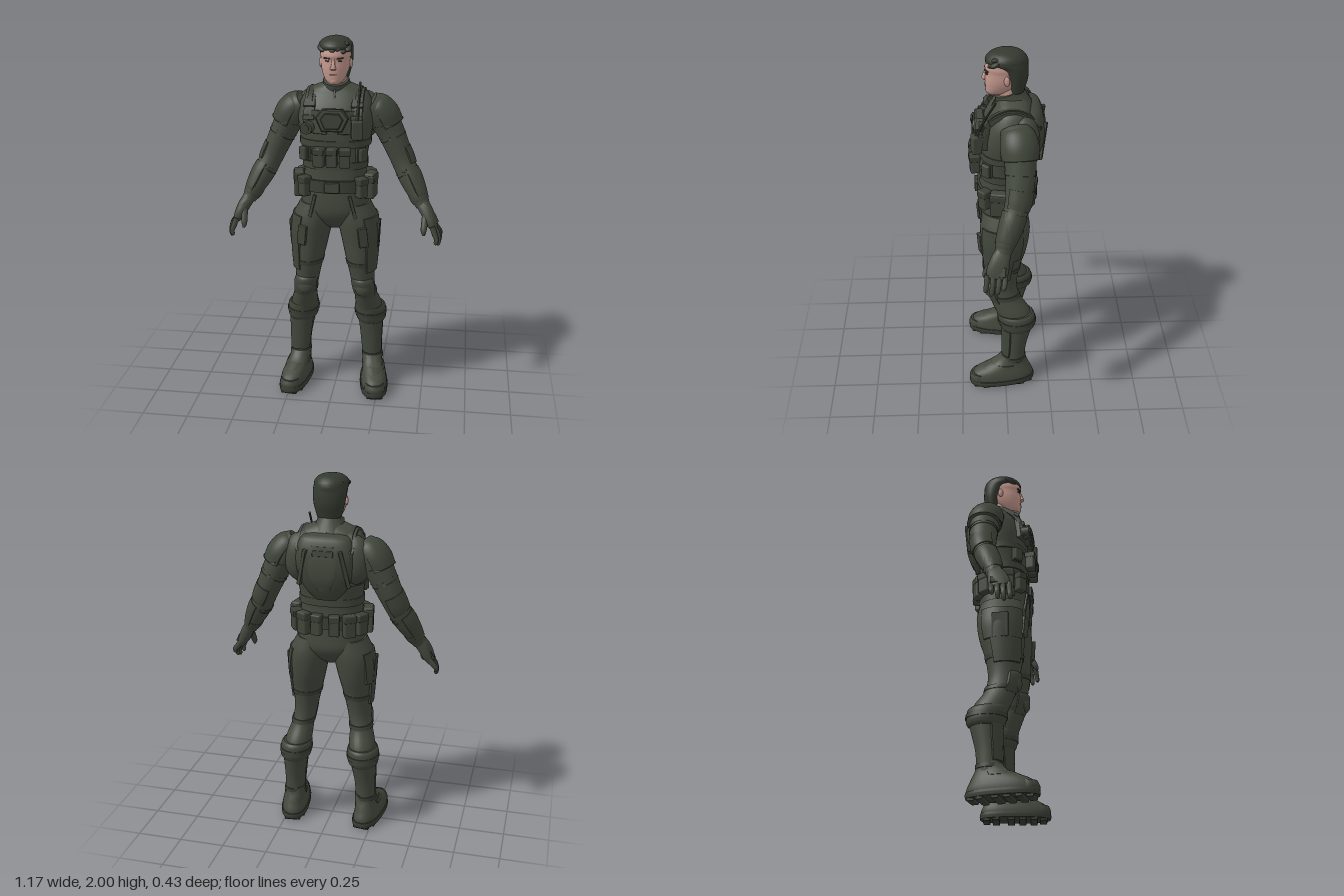
import * as THREE from 'three';
import { toCreasedNormals } from 'three/addons/utils/BufferGeometryUtils.js';
import { RoundedBoxGeometry } from 'three/addons/geometries/RoundedBoxGeometry.js';

const mat = (name, color) => { const m = new THREE.MeshStandardMaterial({ color }); m.name = name; return m; };
const V = (x, y, z) => new THREE.Vector3(x, y, z);

// Skin over oval sections; rows run top to bottom as [x, y, z, half width, half depth].
// flat keeps sections level, n squares them off, factor scales by angle (0 = +x, PI/2 = front).
function loft(rows, { flat = false, n = 2, seg = 28, sub = 4, factor = () => 1 } = {}) {
  const centre = new THREE.CatmullRomCurve3(rows.map(r => V(r[0], r[1], r[2])), false, 'catmullrom', 0.5);
  const radii = new THREE.CatmullRomCurve3(rows.map(r => V(r[3], r[4], 0)), false, 'catmullrom', 0.5);
  const steps = (rows.length - 1) * sub, pos = [], idx = [];
  const power = c => Math.sign(c) * Math.abs(c) ** (2 / n);
  for (let i = 0; i <= steps; i++) {
    const c = centre.getPoint(i / steps), r = radii.getPoint(i / steps);
    const t = flat ? V(0, -1, 0) : centre.getTangent(i / steps);
    const u = V(0, 0, 1).cross(t).normalize(), v = t.clone().cross(u);
    for (let j = 0; j < seg; j++) {
      const a = j / seg * Math.PI * 2, f = factor(a);
      const p = c.clone().addScaledVector(u, r.x * f * power(Math.cos(a))).addScaledVector(v, r.y * f * power(Math.sin(a)));
      pos.push(p.x, p.y, p.z);
    }
  }
  for (let i = 0; i < steps; i++) for (let j = 0; j < seg; j++) {
    const a = i * seg + j, b = i * seg + (j + 1) % seg;
    idx.push(a, b, a + seg, b, b + seg, a + seg);
  }
  const top = pos.length / 3, first = rows[0], last = rows[rows.length - 1];
  pos.push(first[0], first[1], first[2], last[0], last[1], last[2]);
  for (let j = 0; j < seg; j++) {
    const k = (j + 1) % seg, e = steps * seg;
    idx.push(top, k, j, top + 1, e + j, e + k);
  }
  const g = new THREE.BufferGeometry();
  g.setAttribute('position', new THREE.Float32BufferAttribute(pos, 3));
  g.setIndex(idx);
  return toCreasedNormals(g, 0.75);
}

// Armour covers one arc of a limb and sinks into it elsewhere
const arc = (mid, half) => a => Math.abs(Math.atan2(Math.sin(a - mid), Math.cos(a - mid))) < half ? 1 : 0.75;
const shell = (rows, mid, half, o = {}) => loft(rows, { seg: 40, factor: arc(mid, half), ...o });

const place = (g, x, y, z, rx = 0, ry = 0, rz = 0) => g.applyMatrix4(
  new THREE.Matrix4().makeRotationFromEuler(new THREE.Euler(rx, ry, rz, 'YXZ')).setPosition(x, y, z));
const box = (w, h, d, ...at) => place(new RoundedBoxGeometry(w, h, d, 1, Math.min(w, h, d) * 0.18), ...at);
const ball = (w, h, d, ...at) => place(new THREE.SphereGeometry(1, 16, 12).scale(w, h, d), ...at);
const drum = (r0, r1, h, ...at) => place(new THREE.CylinderGeometry(r0, r1, h, 14), ...at);

function mirrored(g) {
  const m = g.index ? g.toNonIndexed() : g.clone();
  m.scale(-1, 1, 1);
  for (const { array: a } of [m.attributes.position, m.attributes.normal])
    for (let i = 0; i < a.length; i += 9) for (let k = 3; k < 6; k++) [a[i + k], a[i + k + 3]] = [a[i + k + 3], a[i + k]];
  return m;
}

// Strap over the shoulder, drawn as a side profile and extruded across
function overStrap(width, x, scale) {
  const at = k => new THREE.Vector2(-.02, 1.56).lerp(k, scale);
  const curve = new THREE.SplineCurve([[.138, 1.52], [.118, 1.61], [.07, 1.685], [-.02, 1.728], [-.11, 1.71], [-.18, 1.63]].map(p => new THREE.Vector2(...p)));
  const outer = curve.getPoints(20), inner = outer.map(p => new THREE.Vector2(-.02, 1.56).lerp(p, .84)).reverse();
  const g = new THREE.ExtrudeGeometry(new THREE.Shape([...outer.map(at), ...inner]), { depth: width, bevelEnabled: false });
  return toCreasedNormals(g.rotateY(-Math.PI / 2).translate(x + width / 2, 0, 0), 0.6);
}

export function createModel() {
  const cloth = mat('olive cloth', 0x444a3f), gear = mat('olive gear', 0x40463b), strap = mat('dark strap', 0x393f35);
  const hairM = mat('dark hair', 0x343a30), skin = mat('skin', 0xc4988d), lip = mat('lip', 0xa97b72);
  const model = new THREE.Group();
  model.name = 'soldier';
  const add = (name, m, g) => { const o = new THREE.Mesh(g, m); o.name = name; model.add(o); };
  const pair = (name, m, g) => { add('left ' + name, m, g); add('right ' + name, m, mirrored(g)); };
  const PI = Math.PI, flat = { flat: true };

  // Head
  add('neck', skin, loft([[0, 1.83, -.025, .055, .06], [0, 1.72, -.035, .058, .062]], flat));
  add('face', skin, loft([[0, 1.985, -.015, .03, .04], [0, 1.96, -.013, .068, .09], [0, 1.915, -.01, .079, .106],
    [0, 1.89, -.008, .076, .101], [0, 1.85, -.002, .074, .098], [0, 1.815, .01, .065, .085], [0, 1.785, .026, .05, .067],
    [0, 1.766, .045, .03, .04]], { flat: true, n: 2.2 }));
  add('nose', skin, loft([[0, 1.9, .086, .008, .01], [0, 1.87, .096, .01, .012], [0, 1.85, .099, .016, .014], [0, 1.841, .094, .011, .008]], { flat: true, seg: 10 }));
  add('mouth', lip, box(.04, .006, .008, 0, 1.816, .093));
  add('chin', skin, ball(.024, .018, .018, 0, 1.784, .077));
  pair('ear', skin, ball(.008, .026, .015, .08, 1.863, -.012, 0, -.25));
  pair('brow', hairM, box(.036, .006, .009, .034, 1.901, .089, 0, .35, .06));
  pair('eye', hairM, box(.02, .006, .009, .033, 1.887, .087, 0, .35));
  add('hair', hairM, loft([[0, 2, -.02, .025, .03], [0, 1.99, -.014, .06, .07], [0, 1.968, -.012, .085, .098],
    [0, 1.945, -.014, .09, .106], [0, 1.925, -.04, .089, .08], [0, 1.895, -.054, .087, .068], [0, 1.85, -.062, .081, .058],
    [0, 1.785, -.062, .064, .04]], flat));
  // Tufts swept to one side over the fringe and crown
  for (let i = 0; i < 6; i++) {
    add('fringe tuft', hairM, ball(.026, .014, .036, -.062 + i * .025, 1.948 + i % 2 * .008 + (i > 3 ? -.006 : 0), .068 - Math.abs(i - 2.5) * .011, .4, .5, .3));
    add('crown tuft', hairM, ball(.018, .012, .05, -.05 + i * .02, 1.981 - Math.abs(i - 2.5) * .005, -.02 + i % 3 * .02, -.05, .5, -.2));
  }

  // Torso, collar and vest
  add('collar', cloth, loft([[0, 1.777, -.022, .068, .074], [0, 1.745, -.034, .076, .08], [0, 1.69, -.053, .11, .092]]));
  add('torso', cloth, loft([[0, 1.755, -.04, .07, .065], [0, 1.725, -.045, .14, .085], [0, 1.695, -.042, .172, .105], [0, 1.63, -.035, .198, .138],
    [0, 1.55, -.025, .2, .152], [0, 1.46, -.016, .186, .143], [0, 1.38, -.006, .172, .134], [0, 1.3, 0, .166, .13],
    [0, 1.22, 0, .174, .134], [0, 1.14, 0, .18, .138], [0, 1.07, -.002, .172, .135], [0, 1.01, 0, .11, .1], [0, .97, 0, .04, .05]], { flat: true, n: 2.4, seg: 40 }));
  const band = (name, m, y0, y1, z, rx, rz) => add(name, m, loft([[0, y0, z, rx, rz], [0, y1, z, rx, rz]], { flat: true, n: 2.4, seg: 40, sub: 1 }));
  band('chest band', gear, 1.475, 1.44, -.014, .191, .149);
  band('vest hem', gear, 1.36, 1.32, -.002, .175, .137);
  band('belt', strap, 1.262, 1.195, 0, .186, .144);
  pair('shoulder blade', cloth, ball(.085, .13, .075, .15, 1.575, -.1));
  pair('chest plate', gear, box(.13, .12, .03, .09, 1.575, .114, -.12, .3));
  pair('side plate', gear, box(.06, .08, .02, .145, 1.4, .09, 0, .75));
  pair('side pouch', gear, box(.05, .07, .035, .155, 1.4, .095, 0, .8));
  // Centre chest piece
  const hex = new THREE.Shape([[-.08, .015], [-.05, -.05], [.05, -.05], [.08, .015], [.05, .055], [-.05, .055]].map(p => new THREE.Vector2(...p)));
  const slab = (s, d) => new THREE.ExtrudeGeometry(hex, { depth: d, bevelSize: .006, bevelThickness: .008, bevelSegments: 1 }).scale(s, s, 1);
  add('chest module', gear, place(slab(1, .035), 0, 1.585, .115, -.1));
  add('chest module face', strap, place(slab(.7, .02), 0, 1.585, .138, -.1));
  add('collar zip', strap, box(.014, .1, .016, 0, 1.69, .058, -.5));
  // Shoulder straps with buckles
  pair('shoulder strap', gear, overStrap(.055, .125, 1));
  pair('strap webbing', strap, overStrap(.026, .125, 1.04));
  pair('strap buckle', gear, box(.062, .03, .02, .125, 1.66, .09, -.85));
  pair('strap clip', gear, box(.06, .026, .02, .125, 1.6, .125, -.25));
  // Radio, round device and magazine pouches
  add('radio', gear, box(.06, .1, .05, .13, 1.545, .145, 0, .25));
  add('antenna', strap, loft([[.135, 1.775, .045, .006, .006], [.133, 1.68, .1, .006, .006], [.13, 1.58, .15, .009, .009]], { seg: 8 }));
  add('round device', gear, drum(.032, .034, .04, -.13, 1.55, .145, PI / 2, -.2));
  add('round device cap', strap, drum(.02, .02, .04, -.132, 1.55, .151, PI / 2, -.2));
  for (const i of [-1, 0, 1]) {
    add('magazine pouch', gear, box(.058, .1, .05, i * .068, 1.395, .155, 0, i * .12));
    add('pouch flap', strap, box(.062, .035, .058, i * .068, 1.43, .157, 0, i * .12));
  }
  // Back pack
  add('back plate', gear, loft([[0, 1.715, -.1, .08, .04], [0, 1.69, -.125, .135, .06], [0, 1.6, -.145, .155, .066], [0, 1.5, -.14, .145, .066],
    [0, 1.42, -.125, .11, .055], [0, 1.36, -.11, .06, .04]], { flat: true, n: 3 }));
  add('back panel', cloth, loft([[0, 1.66, -.17, .075, .03], [0, 1.58, -.182, .095, .031], [0, 1.49, -.178, .075, .031], [0, 1.42, -.155, .035, .03]], { flat: true, n: 4 }));
  add('back grip', gear, box(.11, .03, .016, 0, 1.625, -.202, .12));
  pair('back frame', gear, box(.022, .2, .024, .112, 1.545, -.192, -.06, -.35, .24));

  // Belt pouches: [angle in degrees, width, height, depth]
  for (const [d, w, h, k] of [[8, .1, .14, .055], [42, .055, .1, .05], [-28, .07, .115, .052], [-54, .066, .125, .048], [-79, .056, .11, .046]]) {
    const a = d * PI / 180, x = .196 * Math.cos(a) ** .85, z = .152 * Math.sign(d) * Math.abs(Math.sin(a)) ** .85, r = Math.atan2(Math.cos(a), Math.sin(a) * 1.2);
    pair('belt pouch', gear, box(w, h, k, x, 1.22, z, 0, r));
    pair('belt pouch flap', strap, box(w + .004, .04, k + .006, x, 1.26, z, 0, r));
  }
  add('buckle', gear, box(.08, .055, .02, 0, 1.228, .148));

  // Arms
  pair('arm', cloth, loft([[.17, 1.64, -.055, .07, .08], [.225, 1.6, -.065, .086, .09], [.278, 1.51, -.072, .075, .08], [.325, 1.41, -.068, .067, .073],
    [.36, 1.33, -.055, .061, .064], [.4, 1.25, -.03, .06, .06], [.445, 1.17, 0, .05, .05], [.477, 1.11, .022, .038, .042]]));
  pair('shoulder pad', gear, shell([[.185, 1.668, -.055, .025, .045], [.205, 1.645, -.06, .068, .083], [.245, 1.59, -.068, .086, .098], [.275, 1.53, -.072, .083, .092]], 0, 1.75));
  pair('shoulder pad rim', cloth, shell([[.264, 1.553, -.071, .089, .099], [.275, 1.53, -.072, .087, .096]], 0, 1.6, { sub: 1 }));
  pair('upper arm strap', strap, loft([[.292, 1.48, -.072, .075, .08], [.302, 1.46, -.071, .074, .079]], { sub: 1 }));
  pair('elbow guard', gear, shell([[.33, 1.395, -.066, .071, .076], [.355, 1.34, -.058, .071, .073], [.372, 1.305, -.048, .066, .068]], -.5, 1.4));
  pair('forearm guard', gear, shell([[.38, 1.285, -.042, .067, .066], [.405, 1.24, -.025, .068, .066], [.44, 1.175, 0, .058, .058], [.453, 1.15, .008, .051, .053]], 0, 1.5));
  pair('forearm strap', strap, loft([[.383, 1.283, -.04, .066, .066], [.392, 1.265, -.034, .065, .065]], { sub: 1 }));
  pair('wrist cuff', gear, loft([[.443, 1.173, 0, .053, .053], [.456, 1.148, .01, .05, .051], [.466, 1.13, .016, .044, .047]], { sub: 2 }));
  // Gloves
  pair('palm', cloth, loft([[.47, 1.125, .018, .034, .038], [.497, 1.085, .035, .034, .05], [.522, 1.035, .05, .03, .056], [.54, 1, .057, .02, .05]], { n: 2.5 }));
  pair('knuckle guard', gear, box(.018, .05, .08, .538, 1.04, .048, 0, -.2, .45));
  for (let i = 0; i < 4; i++) {
    const z = .012 + i * .03, e = [.035, .01, 0, .012][i], x = [.006, .004, 0, -.012][i];
    pair('finger', cloth, loft([[.532, 1.02, z, .016, .015], [.558 + x, .98, z + .004, .015, .014], [.568 + x, .945 + e * .6, z + .008, .013, .013],
      [.565 + x, .918 + e, z + .01, .011, .011], [.562 + x, .91 + e, z + .011, .004, .004]], { seg: 10, sub: 2 }));
  }
  pair('thumb', cloth, loft([[.495, 1.08, .06, .02, .02], [.49, 1.035, .09, .018, .018], [.487, .995, .112, .015, .015], [.49, .972, .119, .006, .006]], { seg: 10 }));

  // Legs
  pair('leg', cloth, loft([[.1, 1.12, 0, .09, .12], [.124, 1.02, 0, .112, .134], [.136, .9, .005, .099, .122], [.144, .8, .018, .084, .104],
    [.15, .72, .02, .071, .09], [.157, .65, .016, .064, .082], [.169, .58, 0, .062, .085], [.183, .5, -.042, .073, .095], [.194, .42, -.066, .074, .09],
    [.2, .35, -.062, .066, .078], [.206, .25, -.052, .057, .065], [.21, .12, -.045, .055, .063]], flat));
  pair('thigh guard', gear, shell([[.118, 1.05, 0, .116, .138], [.13, .96, .003, .117, .14], [.14, .87, .009, .105, .127]], .15, .95, flat));
  pair('lower thigh guard', gear, shell([[.138, .9, .007, .108, .129], [.144, .81, .016, .096, .113], [.149, .735, .02, .084, .1]], .35, .85, flat));
  pair('thigh pocket', strap, box(.02, .14, .09, .235, .94, .01, 0, 0, -.06));
  pair('thigh front plate', gear, box(.05, .11, .02, .165, .95, .132, .04, .35, .12));
  pair('thigh strap', strap, loft([[.145, .79, .019, .086, .106], [.147, .765, .02, .082, .102]], { flat: true, sub: 1 }));
  pair('hip strap', gear, box(.018, .15, .012, .11, 1.11, .131, .05, .2, .25));
  pair('knee pad', gear, shell([[.153, .7, .02, .05, .07], [.157, .675, .02, .07, .094], [.164, .62, .014, .07, .093], [.171, .57, -.005, .064, .088]], PI / 2, 1.1, flat));
  pair('knee cap', cloth, ball(.042, .048, .03, .16, .635, .085, -.1));
  pair('knee strap', strap, loft([[.164, .61, .008, .067, .088], [.168, .587, .002, .067, .088]], { flat: true, sub: 1 }));
  // Tall boots
  pair('boot cuff', gear, loft([[.188, .49, -.052, .078, .1], [.192, .47, -.06, .087, .105], [.196, .41, -.067, .086, .102], [.198, .385, -.066, .073, .086]], flat));
  pair('cuff strap', strap, loft([[.193, .452, -.063, .091, .109], [.195, .43, -.066, .091, .109]], { flat: true, sub: 1 }));
  pair('shin guard', gear, shell([[.199, .39, -.063, .076, .087], [.203, .31, -.057, .069, .079], [.208, .2, -.048, .061, .071]], PI / 2, 1.1, flat));
  pair('ankle strap', strap, loft([[.208, .185, -.047, .06, .07], [.21, .163, -.045, .061, .072]], { flat: true, sub: 1 }));
  const boot = (name, m, g) => pair(name, m, place(g, .224, 0, .02, 0, .13));
  boot('boot upper', cloth, loft([[-.01, .19, -.067, .055, .066], [-.008, .155, -.055, .056, .085], [-.004, .125, -.032, .06, .121], [0, .095, -.005, .067, .16],
    [0, .06, .002, .074, .182], [0, .03, .002, .074, .18]], { flat: true, n: 2.4, sub: 3 }));
  boot('boot sole', strap, loft([[0, .045, .002, .078, .187], [0, .03, .002, .08, .189], [0, .014, .002, .078, .186]], { flat: true, n: 2.5 }));
  // Sole treads under toe and heel
  for (const z of [-.15, -.1, -.02, .04, .1, .15])
    boot('sole tread', strap, box(Math.abs(z) > .13 ? .09 : .13, .024, .038, 0, .012, z));
  boot('instep strap', gear, shell([[-.005, .14, -.043, .061, .107], [-.002, .118, -.026, .066, .134]], PI / 2, 1.8, flat));
  boot('toe cap', gear, shell([[0, .085, .006, .068, .173], [0, .06, .004, .077, .186], [0, .04, .002, .078, .186]], PI / 2, .9, { flat: true, n: 2.4 }));
  return model;
}
